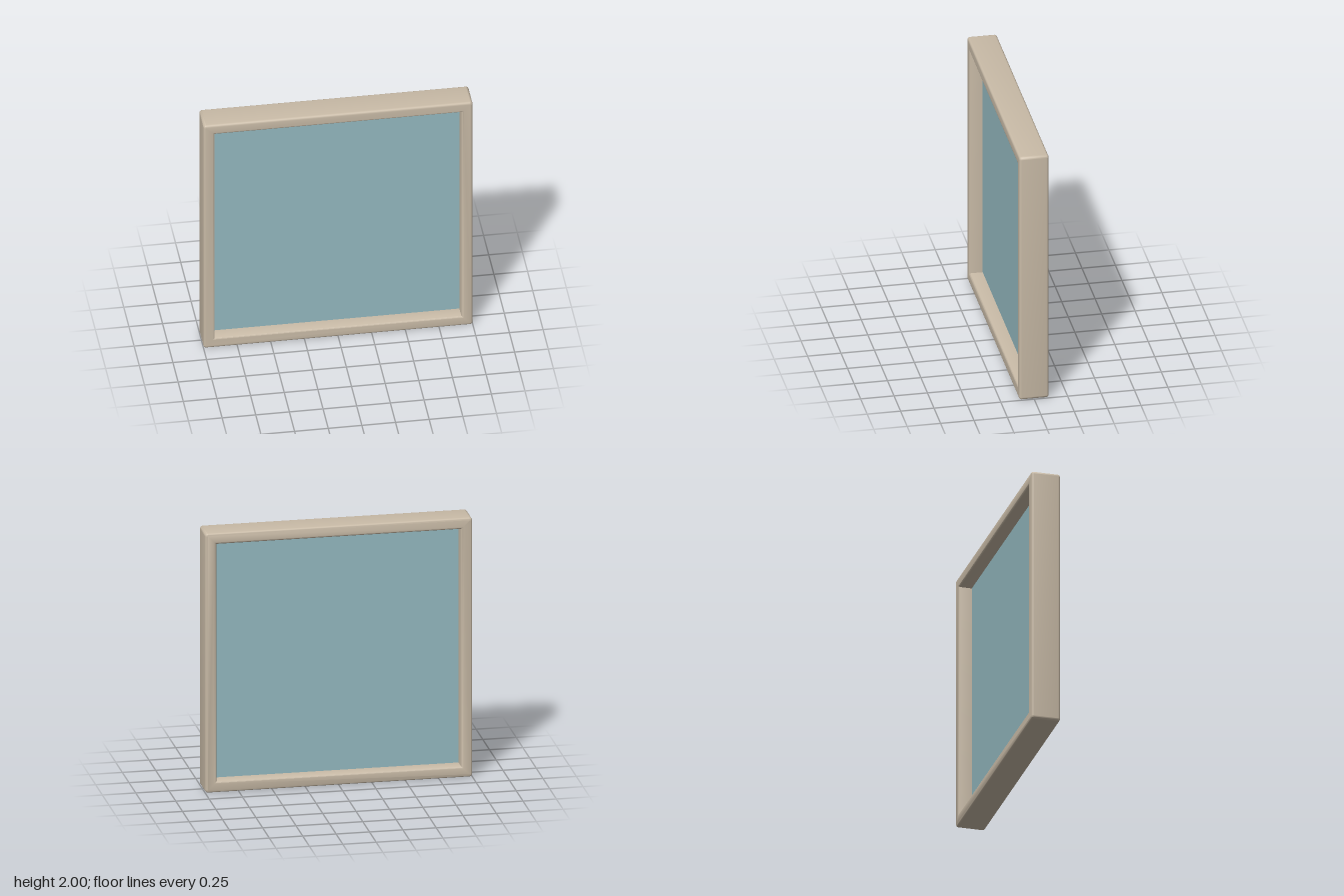
import * as THREE from 'three';
import { toCreasedNormals } from 'three/addons/utils/BufferGeometryUtils.js';

const HALF = 1, OPENING = 0.915, DEPTH = 0.22, BEVEL = 0.018, CORNER = 0.021;

// Closed square outline; a radius rounds its corners
function square(path, h, r = 0) {
  if (r === 0) {
    path.moveTo(-h, -h).lineTo(-h, h).lineTo(h, h).lineTo(h, -h).closePath();
    return path;
  }
  path.moveTo(-h + r, -h);
  path.lineTo(h - r, -h);
  path.absarc(h - r, -h + r, r, -Math.PI / 2, 0);
  path.absarc(h - r, h - r, r, 0, Math.PI / 2);
  path.absarc(-h + r, h - r, r, Math.PI / 2, Math.PI);
  path.absarc(-h + r, -h + r, r, Math.PI, Math.PI * 1.5);
  return path;
}

export function createModel() {
  const frameMaterial = new THREE.MeshStandardMaterial({ color: 0xc9bba7 });
  frameMaterial.name = 'beige frame';
  const glassMaterial = new THREE.MeshStandardMaterial({ color: 0x95bac1 });
  glassMaterial.name = 'blue glass';

  // Square frame with softly rounded edges outside and around the opening
  const outline = square(new THREE.Shape(), HALF, CORNER);
  outline.holes.push(square(new THREE.Path(), OPENING));
  const frameGeometry = new THREE.ExtrudeGeometry(outline, {
    depth: DEPTH - 2 * BEVEL,
    bevelEnabled: true,
    bevelSize: BEVEL,
    bevelThickness: BEVEL,
    bevelOffset: -BEVEL,
    bevelSegments: 4,
    curveSegments: 4,
  });
  frameGeometry.translate(0, 0, -DEPTH / 2 + BEVEL);
  const frame = new THREE.Mesh(toCreasedNormals(frameGeometry, 0.7), frameMaterial);
  frame.name = 'frame';
  frame.position.y = HALF;

  // Thin pane halfway through the frame, seated just inside it
  const pane = 2 * OPENING + 0.02;
  const glass = new THREE.Mesh(new THREE.BoxGeometry(pane, pane, 0.02), glassMaterial);
  glass.name = 'glassPane';
  glass.position.y = HALF;

  const model = new THREE.Group();
  model.name = 'window';
  model.add(frame, glass);
  return model;
}
